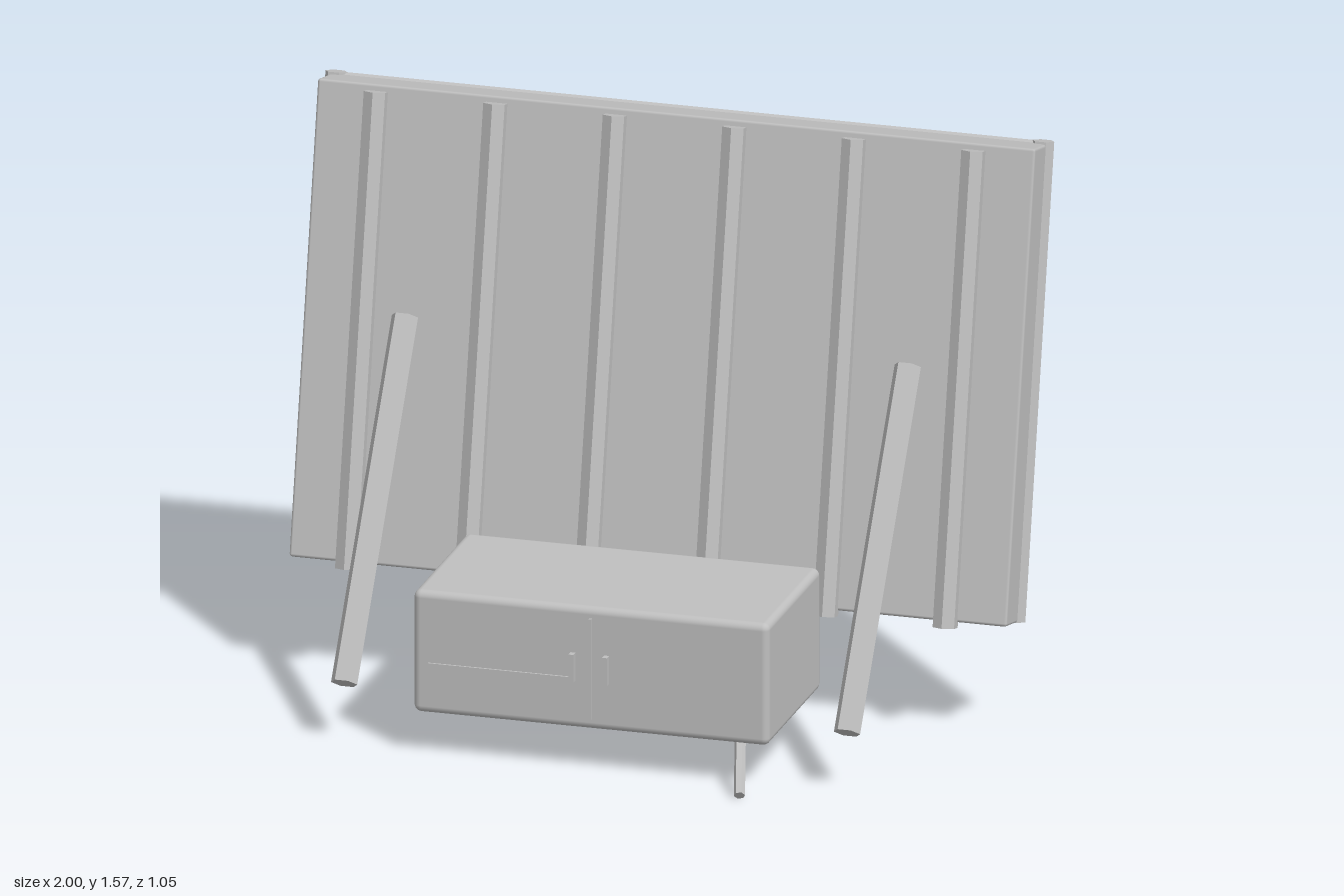
import * as THREE from 'three';
import { RoundedBoxGeometry } from 'three/addons/geometries/RoundedBoxGeometry.js';

const V = (x, y, z) => new THREE.Vector3(x, y, z);

export function createModel() {
  const model = new THREE.Group();
  const grey = new THREE.MeshStandardMaterial({ color: 0xbfbfbf });
  grey.name = 'paintedMetalGrey';

  function add(parent, name, geometry, x = 0, y = 0, z = 0) {
    const mesh = new THREE.Mesh(geometry, grey);
    mesh.name = name;
    mesh.position.set(x, y, z);
    parent.add(mesh);
    return mesh;
  }

  // Six-sided rod between two points, with one corner pointing along `corner`
  function rod(parent, name, a, b, radius, corner) {
    const g = new THREE.CylinderGeometry(radius, radius, a.distanceTo(b), 6).toNonIndexed();
    g.computeVertexNormals();
    const yAxis = b.clone().sub(a).normalize();
    const xAxis = yAxis.clone().cross(corner).normalize();
    const zAxis = xAxis.clone().cross(yAxis);
    const mesh = add(parent, name, g);
    mesh.quaternion.setFromRotationMatrix(new THREE.Matrix4().makeBasis(xAxis, yAxis, zAxis));
    mesh.position.copy(a).add(b).multiplyScalar(0.5);
    return mesh;
  }

  // Tilted panel; its local origin is the lower edge of the back face
  const panel = new THREE.Group();
  panel.name = 'tiltedPanel';
  panel.position.set(0, 0.296, -0.258);
  panel.rotation.x = -0.21;
  model.add(panel);
  const H = 1.278, r = 0.03, depth = 0.026;
  add(panel, 'panelBody', new RoundedBoxGeometry(1.97, 1.272, 0.134, 1, 0.008), 0, 0.636, 0.085);

  // Rails framing the recessed back face
  for (const s of [-1, 1]) {
    rod(panel, s > 0 ? 'leftRail' : 'rightRail',
      V(s * 0.97, 0, depth), V(s * 0.97, H, depth), r, V(1, 0, 0));
  }
  for (const [name, y] of [['bottomRail', r], ['topRail', H - r]]) {
    rod(panel, name, V(-0.98, y, depth), V(0.98, y, depth), r, V(0, 1, 0));
  }

  // Upright ribs half sunk into the front face
  for (const x of [-0.82, -0.492, -0.164, 0.164, 0.492, 0.82]) {
    rod(panel, 'rib', V(x, -0.015, 0.161), V(x, 1.254, 0.161), 0.034, V(0, 0, 1));
  }

  // Slanted support legs
  for (const s of [-1, 1]) {
    rod(model, s > 0 ? 'leftSupportLeg' : 'rightSupportLeg',
      V(s * 0.69, 0.165, 0.37), V(s * 0.69, 1.0, -0.19), 0.036, V(1, 0, 0));
  }

  // Cabinet with door seams and handles
  const cabinet = new THREE.Group();
  cabinet.name = 'cabinet';
  model.add(cabinet);
  add(cabinet, 'cabinetBody', new RoundedBoxGeometry(0.976, 0.34, 0.486, 3, 0.02), 0, 0.29, 0.173);
  add(cabinet, 'doorSeam', new THREE.BoxGeometry(0.007, 0.28, 0.009), 0, 0.29, 0.419);
  add(cabinet, 'drawerSeam', new THREE.BoxGeometry(0.4, 0.006, 0.009), -0.245, 0.26, 0.417);
  for (const x of [-0.048, 0.044]) {
    add(cabinet, 'handle', new THREE.BoxGeometry(0.014, 0.078, 0.024), x, 0.292, 0.424);
  }

  // Small drain pipe below the cabinet
  rod(model, 'drainPipe', V(0.39, 0.142, 0.345), V(0.438, 0.014, 0.515), 0.015, V(1, 0, 0));

  return model;
}
